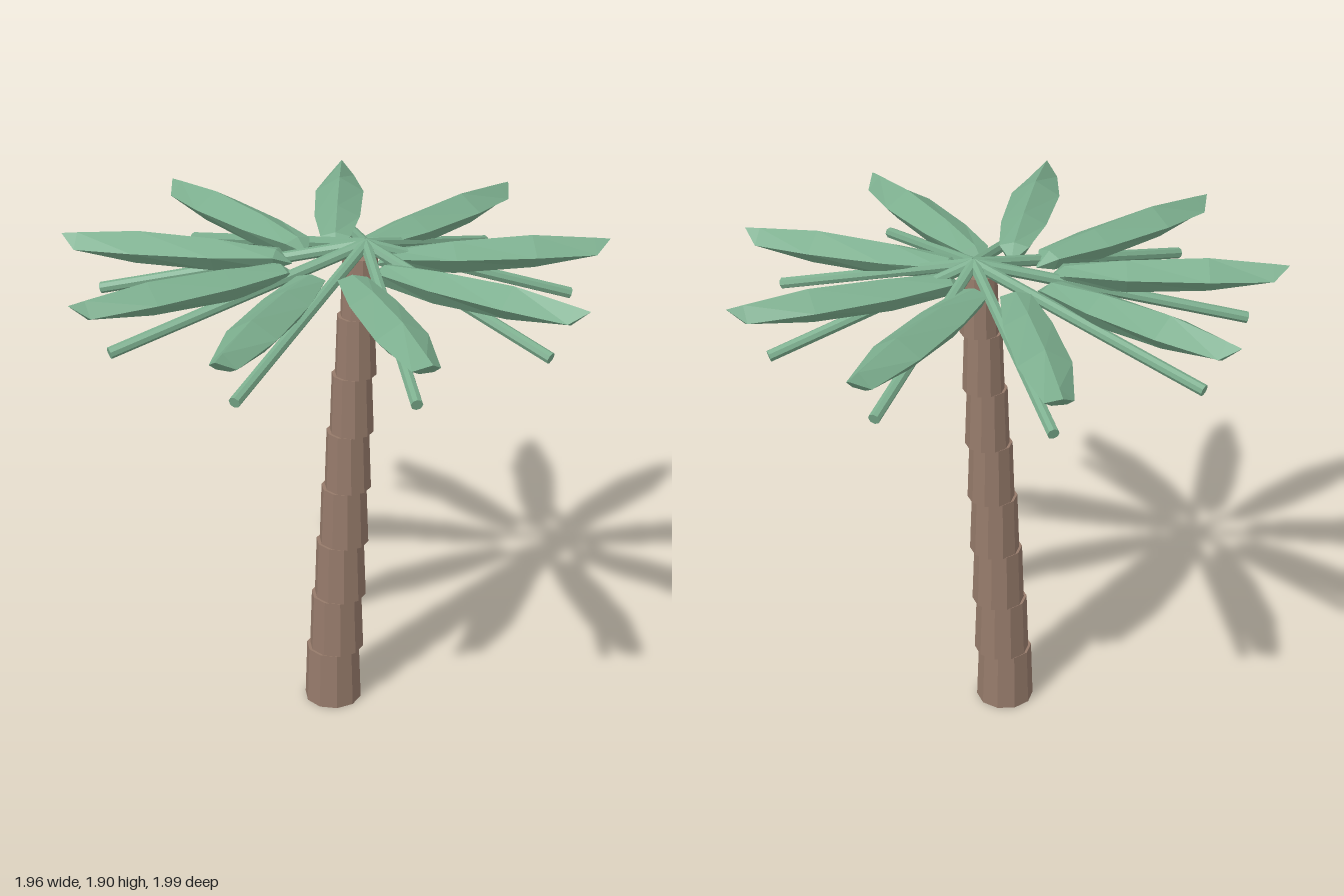
import * as THREE from 'three';

const CENTER_X = -0.03; // axis of the crown
const FRONDS = 9;

const flat = (geo) => {
  const g = geo.index ? geo.toNonIndexed() : geo;
  g.computeVertexNormals();
  return g;
};

// Faceted leaf blade pointing along +x: pentagonal sections between two pointed ends
function leafGeometry() {
  // [distance, half width, top y, side y, bottom y]
  const stations = [
    [0.15, 0, 1.80, 1.80, 1.80],
    [0.21, 0.055, 1.85, 1.835, 1.785],
    [0.43, 0.085, 1.872, 1.83, 1.768],
    [0.72, 0.092, 1.88, 1.825, 1.775],
    [0.95, 0.05, 1.857, 1.808, 1.797],
    [1.01, 0, 1.85, 1.85, 1.85],
  ];
  const rings = stations.map(([x, w, top, mid, bot]) => [
    [x, top, 0], [x, mid, w], [x, bot, w * 0.5], [x, bot, -w * 0.5], [x, mid, -w],
  ]);
  const pos = [];
  const last = rings.length - 2;
  for (let i = 0; i <= last; i++) {
    for (let j = 0; j < 5; j++) {
      const k = (j + 1) % 5;
      const a = rings[i][j], b = rings[i][k], c = rings[i + 1][k], d = rings[i + 1][j];
      if (i > 0) pos.push(...a, ...b, ...c);
      if (i < last) pos.push(...a, ...c, ...d);
      if (i === last) continue;
    }
  }
  const geo = new THREE.BufferGeometry();
  geo.setAttribute('position', new THREE.Float32BufferAttribute(pos, 3));
  return flat(geo);
}

// Straight rod between two points
function rod(from, to, radius, material) {
  const dir = to.clone().sub(from);
  const mesh = new THREE.Mesh(flat(new THREE.CylinderGeometry(radius, radius, dir.length(), 8)), material);
  mesh.position.copy(from).add(to).multiplyScalar(0.5);
  mesh.quaternion.setFromUnitVectors(new THREE.Vector3(0, 1, 0), dir.normalize());
  return mesh;
}

export function createModel() {
  const bark = new THREE.MeshStandardMaterial({ color: 0x957a6a });
  bark.name = 'bark brown';
  const green = new THREE.MeshStandardMaterial({ color: 0x7cae8e });
  green.name = 'leaf green';

  const model = new THREE.Group();
  model.name = 'palmTree';

  // Trunk: stacked tapering segments, each shifted toward +x
  const trunk = new THREE.Group();
  trunk.name = 'trunk';
  const h = 0.23;
  for (let i = 0; i < 8; i++) {
    const r = 0.11 - 0.0055 * i;
    const seg = new THREE.Mesh(flat(new THREE.CylinderGeometry(r - 0.008, r, h, 10)), bark);
    seg.name = 'trunkSegment';
    seg.position.set(-0.035 + 0.0143 * i, h * (i + 0.5), 0);
    trunk.add(seg);
  }
  model.add(trunk);

  // Crown: leaves in a ring, with drooping stems from the trunk top
  const crown = new THREE.Group();
  crown.name = 'crown';
  const leafGeo = leafGeometry();
  const apex = new THREE.Vector3(0.085, 1.88, 0);
  for (let i = 0; i < FRONDS; i++) {
    const angle = (i / FRONDS) * Math.PI * 2;
    const leaf = new THREE.Mesh(leafGeo, green);
    leaf.name = 'leaf';
    leaf.position.x = CENTER_X;
    leaf.rotation.y = -angle;
    crown.add(leaf);

    const end = new THREE.Vector3(CENTER_X + 0.87 * Math.cos(angle), 1.648, 0.87 * Math.sin(angle));
    const stem = rod(apex, end, 0.021, green);
    stem.name = 'stem';
    crown.add(stem);
  }
  model.add(crown);

  return model;
}
